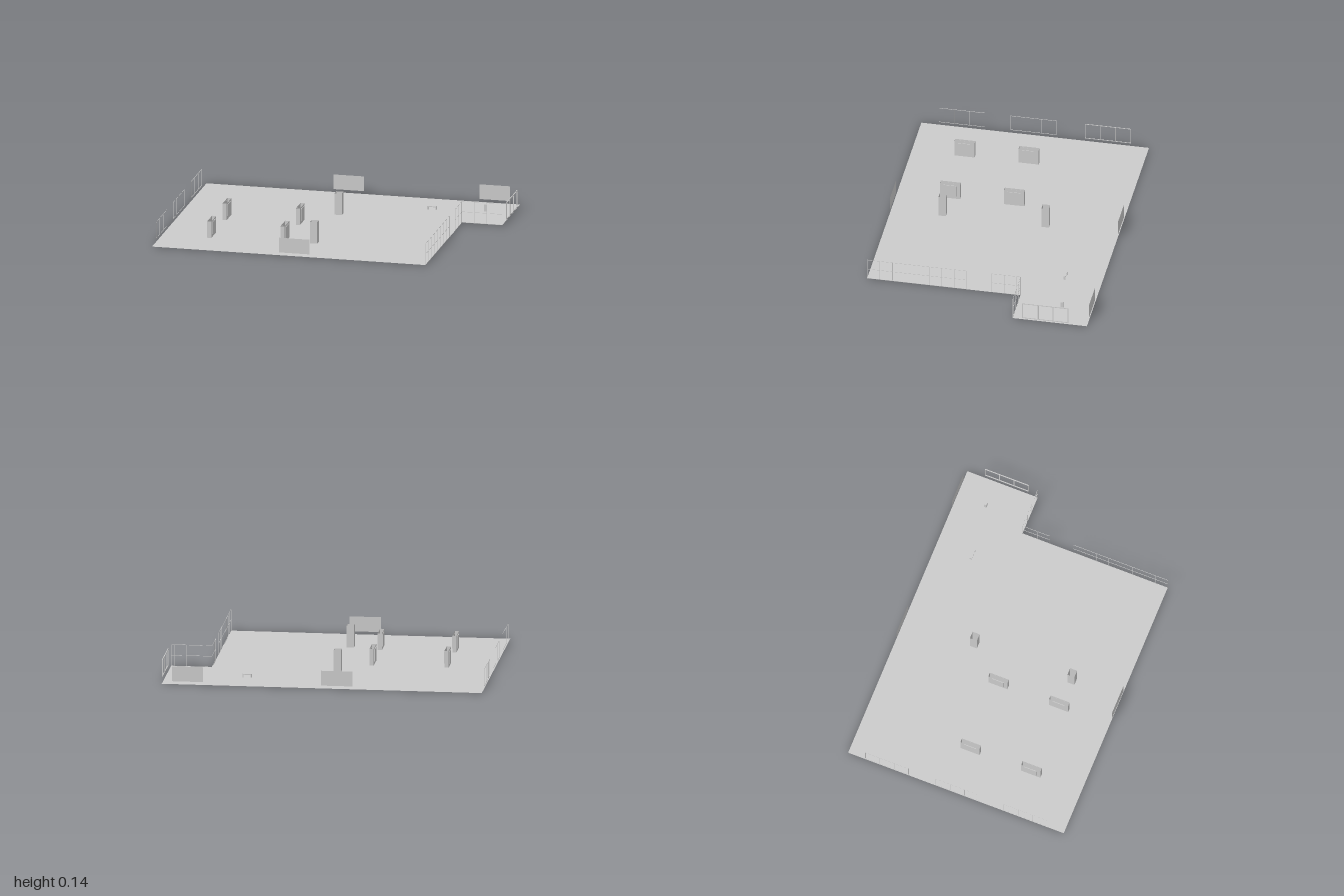
import * as THREE from 'three';

const grey = new THREE.MeshStandardMaterial({ color: 0xcccccc, flatShading: true, side: THREE.DoubleSide });

function mesh(name, geometry, parent, x = 0, y = 0, z = 0) {
  const m = new THREE.Mesh(geometry, grey);
  m.name = name;
  m.position.set(x, y, z);
  parent.add(m);
  return m;
}

function box(name, parent, x, y, z, w, h, d) {
  return mesh(name, new THREE.BoxGeometry(w, h, d), parent, x, y, z);
}

// Glazing frame: a grid of thin bars in the local xy plane, running along +x
function frame(name, parent, posts, rails, bar) {
  const g = new THREE.Group();
  g.name = name;
  const length = posts[posts.length - 1];
  const low = rails[0], high = rails[rails.length - 1];
  for (const p of posts) box('post', g, p, (low + high) / 2, 0, bar, high - low, bar);
  for (const r of rails) box('rail', g, length / 2, r, 0, length + bar, bar, bar);
  parent.add(g);
  return g;
}

// Post positions at a fixed pitch, always closing at the end
function pitch(length, step) {
  const posts = [];
  for (let p = 0; p < length - 0.005; p += step) posts.push(p);
  posts.push(length);
  return posts;
}

// Upright sleeve, open at top and bottom
function sleeve(name, parent, w, h, d) {
  const s = new THREE.CylinderGeometry(Math.SQRT1_2, Math.SQRT1_2, 1, 4, 1, true);
  s.rotateY(Math.PI / 4);
  s.scale(w, h, d);
  return mesh(name, s, parent, 0, h / 2, 0);
}

export function createModel() {
  const model = new THREE.Group();
  model.name = 'floorPlan';

  // L-shaped floor sheet
  const outline = [[-0.997, -0.713], [0.732, -0.713], [0.732, 0.247], [0.985, 0.247], [0.985, 0.713], [-0.997, 0.713]];
  const floor = new THREE.ShapeGeometry(new THREE.Shape(outline.map(([x, y]) => new THREE.Vector2(x, y))));
  floor.rotateX(-Math.PI / 2);
  mesh('floor', floor, model, 0, 0.001, 0);

  // Solid wall panels on the front and back edges
  for (const [x, z] of [[-0.098, 0.713], [-0.098, -0.713], [0.825, -0.713]]) {
    mesh('wallPanel', new THREE.PlaneGeometry(0.194, 0.094), model, x, 0.066, z);
  }

  // Three-bay windows on the two sides
  const bays = [0, 0.095, 0.19, 0.285];
  for (const [x, z, bar] of [[-0.998, 0.603, 0.002], [-0.998, 0.153, 0.002], [-0.998, -0.313, 0.003], [0.995, -0.313, 0.005]]) {
    const win = frame('window', model, bays, [0.021, 0.124], bar);
    win.position.set(x, 0, z);
    win.rotation.y = Math.PI / 2;
  }

  // Glazed screens around the notch, with a doorway between the first two
  const rails = [0.002, 0.07, 0.137];
  for (const [z, length] of [[0.713, 0.623], [-0.068, 0.18]]) {
    const screen = frame('sideScreen', model, pitch(length, 0.078), rails, 0.002);
    screen.position.set(0.731, 0, z);
    screen.rotation.y = Math.PI / 2;
  }
  frame('notchScreen', model, pitch(0.253, 0.078), rails, 0.002).position.set(0.731, 0, -0.248);

  // Wide piers with a raised panel on each broad face
  for (const x of [-0.7, -0.237]) for (const z of [0.382, -0.02]) {
    const pier = new THREE.Group();
    pier.name = 'widePier';
    pier.position.set(x, 0, z);
    sleeve('pierBody', pier, 0.026, 0.106, 0.126);
    for (const s of [-1, 1]) box('pierPanel', pier, s * 0.0145, 0.058, 0, 0.004, 0.076, 0.08);
    model.add(pier);
  }

  // Square columns
  for (const z of [0.392, -0.253]) {
    sleeve('squareColumn', model, 0.046, 0.138, 0.046).position.set(-0.048, 0.069, z);
  }

  // Small bench
  const bench = new THREE.Group();
  bench.name = 'bench';
  bench.position.set(0.485, 0, -0.48);
  box('benchSeat', bench, 0, 0.021, 0, 0.058, 0.006, 0.014);
  for (const s of [-1, 1]) box('benchLeg', bench, s * 0.026, 0.009, 0, 0.006, 0.018, 0.014);
  model.add(bench);

  // Small bollard
  box('bollard', model, 0.813, 0.022, -0.524, 0.016, 0.044, 0.016);

  return model;
}
